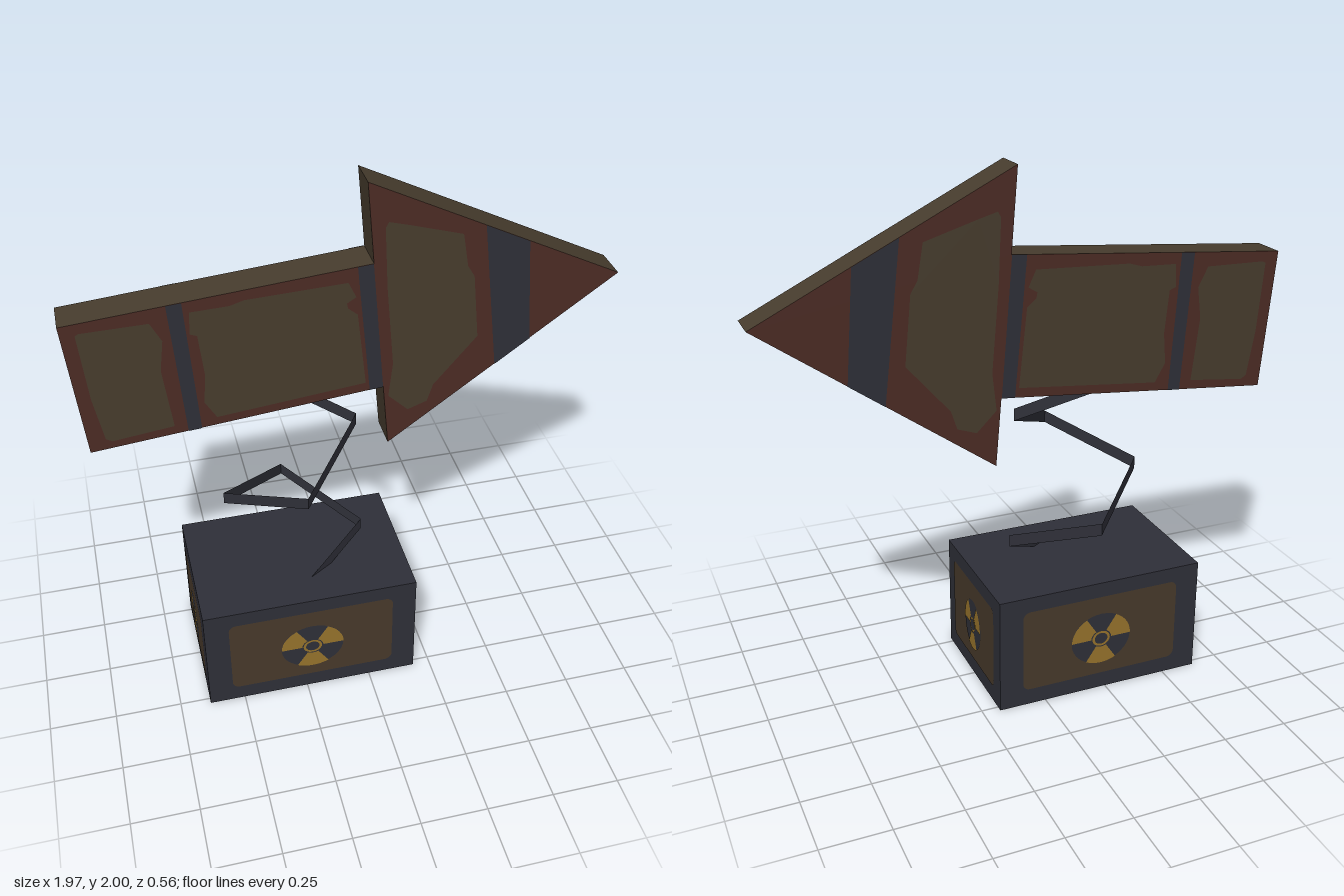
import * as THREE from 'three';

const mat = (name, color) => {
  const m = new THREE.MeshStandardMaterial({ color, side: THREE.DoubleSide });
  m.name = name;
  return m;
};

export function createModel() {
  const rust = mat('rust', 0x4d2c25);
  const olive = mat('olive', 0x483d2e);
  const navy = mat('navy', 0x2f3039);
  const brown = mat('brown', 0x483a2b);
  const yellow = mat('yellow', 0x98742c);

  const model = new THREE.Group();
  model.name = 'arrowSignOnSpring';

  const add = (parent, name, geometry, material, z = 0) => {
    const mesh = new THREE.Mesh(geometry, material);
    mesh.name = name;
    mesh.position.z = z;
    parent.add(mesh);
    return mesh;
  };
  const shapeOf = (points) => new THREE.Shape(points.map(([x, y]) => new THREE.Vector2(x, y)));

  // Arrow board: painted front and back, olive rim
  const depth = 0.13;
  const arrow = new THREE.Group();
  arrow.name = 'arrow';
  model.add(arrow);
  const outline = shapeOf([
    [-0.985, 1.61], [-0.94, 1.09], [0.116, 1.19], [0.137, 0.935],
    [0.98, 1.54], [0.053, 2.0], [0.076, 1.70],
  ]);
  add(arrow, 'arrowBoard',
    new THREE.ExtrudeGeometry(outline, { depth, bevelEnabled: false }), [rust, olive], -depth);

  // Painted patches and stripes, repeated on both faces
  const paint = (name, points, material) => {
    const geometry = new THREE.ShapeGeometry(shapeOf(points));
    add(arrow, name + 'Front', geometry, material, 0.002);
    add(arrow, name + 'Back', geometry, material, -depth - 0.002);
  };
  paint('tailPanel', [
    [-0.932, 1.571], [-0.92, 1.578], [-0.689, 1.582], [-0.652, 1.508], [-0.668, 1.39],
    [-0.641, 1.153], [-0.86, 1.127], [-0.882, 1.14], [-0.911, 1.312],
  ], olive);
  paint('middlePanel', [
    [-0.56, 1.52], [-0.555, 1.605], [-0.42, 1.61], [-0.37, 1.625], [-0.013, 1.64],
    [0.015, 1.58], [-0.018, 1.56], [-0.015, 1.54], [0.02, 1.51], [0.05, 1.22],
    [-0.49, 1.165], [-0.53, 1.235], [-0.52, 1.35], [-0.535, 1.51],
  ], olive);
  paint('headPanel', [
    [0.114, 1.83], [0.125, 1.85], [0.193, 1.831], [0.388, 1.772], [0.41, 1.646],
    [0.436, 1.603], [0.462, 1.354], [0.304, 1.169], [0.282, 1.10], [0.21, 1.074],
    [0.135, 1.148], [0.15, 1.286], [0.124, 1.603],
  ], olive);
  paint('tailStripe', [[-0.631, 1.64], [-0.578, 1.644], [-0.546, 1.127], [-0.594, 1.123]], navy);
  paint('neckStripe', [[0.02, 1.695], [0.075, 1.70], [0.115, 1.19], [0.065, 1.186]], navy);
  paint('headStripe', [[0.467, 1.794], [0.63, 1.713], [0.663, 1.312], [0.536, 1.221]], navy);

  // Spring: flat upright ribbon winding in a square helix
  const path = [
    [-0.20, 0.43, 0.15], [0.035, 0.552, 0], [-0.225, 0.672, -0.263], [-0.49, 0.79, 0],
    [-0.225, 0.925, 0.265], [0.015, 1.065, 0], [-0.235, 1.18, -0.125],
  ];
  const half = 0.024;
  const strip = [];
  for (let i = 0; i < path.length - 1; i++) {
    const [ax, ay, az] = path[i];
    const [bx, by, bz] = path[i + 1];
    strip.push(
      ax, ay - half, az, bx, by - half, bz, bx, by + half, bz,
      ax, ay - half, az, bx, by + half, bz, ax, ay + half, az,
    );
  }
  const ribbon = new THREE.BufferGeometry();
  ribbon.setAttribute('position', new THREE.Float32BufferAttribute(strip, 3));
  ribbon.computeVertexNormals();
  add(model, 'spring', ribbon, navy);

  // Base box without a bottom
  const [w, h, d] = [0.82, 0.455, 0.547];
  const base = new THREE.Group();
  base.name = 'base';
  base.position.set(-0.226, h / 2, 0);
  model.add(base);
  const shell = new THREE.BoxGeometry(w, h, d);
  const index = Array.from(shell.index.array);
  index.splice(18, 6);
  shell.setIndex(index);
  shell.clearGroups();
  add(base, 'baseShell', shell, navy);

  // Rounded wall panel
  const [pw, ph, r] = [0.318, 0.166, 0.028];
  const panelShape = new THREE.Shape();
  panelShape.absarc(pw - r, ph - r, r, 0, Math.PI / 2);
  panelShape.absarc(-pw + r, ph - r, r, Math.PI / 2, Math.PI);
  panelShape.absarc(-pw + r, -ph + r, r, Math.PI, Math.PI * 1.5);
  panelShape.absarc(pw - r, -ph + r, r, Math.PI * 1.5, Math.PI * 2);
  const panel = new THREE.ShapeGeometry(panelShape, 4);
  const disc = new THREE.CircleGeometry(1, 32);
  const blade = (start) => new THREE.RingGeometry(0.34, 1, 10, 1, start, Math.PI / 3);
  const ring = new THREE.RingGeometry(0.22, 0.3, 20);

  // Panel and three-bladed warning sign on every wall, outside and inside
  ['front', 'left', 'back', 'right'].forEach((side, i) => {
    const wall = new THREE.Group();
    wall.name = side + 'Wall';
    wall.rotation.y = i * Math.PI / 2;
    base.add(wall);
    const distance = (i % 2 ? w : d) / 2;
    for (const dir of [1, -1]) {
      const face = new THREE.Group();
      face.name = side + (dir > 0 ? 'Outside' : 'Inside');
      face.position.set(0, 0.003, distance);
      face.scale.x = i % 2 ? d / w : 1;
      wall.add(face);
      add(face, 'panel', panel, brown, dir * 0.002);
      const sign = new THREE.Group();
      sign.name = 'warningSign';
      sign.position.y = -0.011;
      sign.scale.set(0.122, 0.106, 1);
      face.add(sign);
      add(sign, 'signDisc', disc, navy, dir * 0.004);
      for (const start of [0, 2, 4]) {
        add(sign, 'signBlade', blade(start * Math.PI / 3), yellow, dir * 0.006);
      }
      add(sign, 'signRing', ring, yellow, dir * 0.006);
    }
  });

  return model;
}
